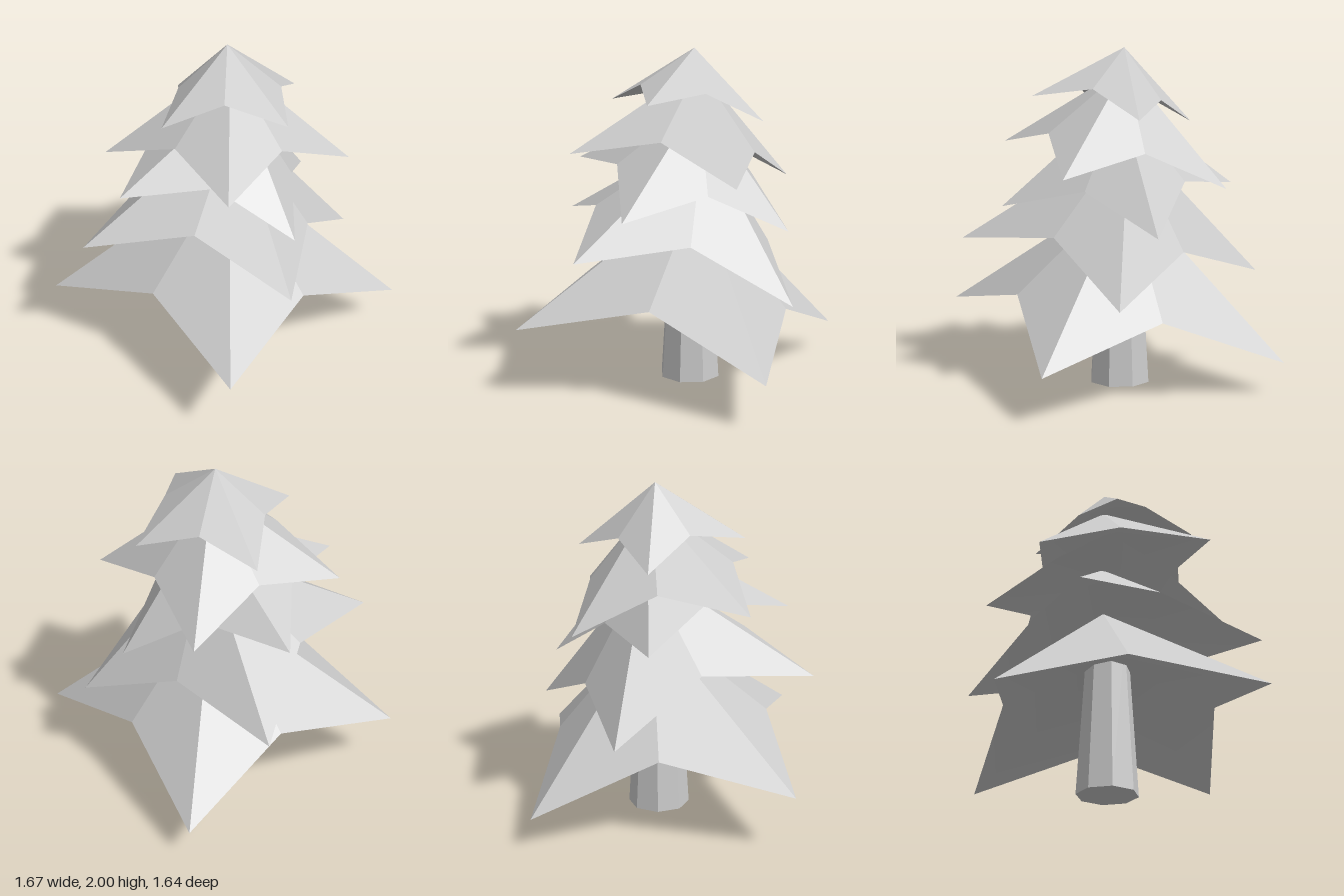
import * as THREE from 'three';

// Foliage tiers, bottom to top. Each leans so that its base rises by a along x and b along z.
const TIERS = [
  { name: 'bottomTier', centre: [0.005, 0.307, -0.042], radius: 1.066, turn: 45, a: 0.053, b: 0.102, height: 0.876 },
  { name: 'lowerTier', centre: [0, 0.759, -0.001], radius: 0.895, turn: 20.4, a: 0.054, b: 0.223, height: 0.76 },
  { name: 'middleTier', centre: [-0.05, 1.124, -0.018], radius: 0.72, turn: 7.2, a: -0.094, b: 0.228, height: 0.597 },
  { name: 'upperTier', centre: [0.013, 1.31, -0.051], radius: 0.718, turn: 46.2, a: 0.095, b: 0.135, height: 0.583 },
  { name: 'topTier', centre: [0.017, 1.64, -0.072], radius: 0.498, turn: 6.9, a: 0.16, b: 0.092, height: 0.366 },
];

const POINTS = 4;
const VALLEY_RADIUS = 0.595; // valley distance relative to the tips
const VALLEY_LIFT = 0.221; // valley rise relative to the tip radius
const UNDERSIDE_LIFT = 0.5; // rise of the hollow's middle relative to the tip radius

// Fan from a middle point to a star rim of drooping tips and raised valleys
function starFan(radius, middleHeight, facesUp) {
  const positions = [0, middleHeight, 0];
  const index = [];
  const count = POINTS * 2;
  for (let i = 0; i < count; i++) {
    const angle = (i * Math.PI) / POINTS;
    const isTip = i % 2 === 0;
    const r = isTip ? radius : radius * VALLEY_RADIUS;
    positions.push(r * Math.cos(angle), isTip ? 0 : radius * VALLEY_LIFT, r * Math.sin(angle));
    const here = i + 1;
    const next = ((i + 1) % count) + 1;
    index.push(0, ...(facesUp ? [next, here] : [here, next]));
  }
  const geometry = new THREE.BufferGeometry();
  geometry.setAttribute('position', new THREE.Float32BufferAttribute(positions, 3));
  geometry.setIndex(index);
  geometry.computeVertexNormals();
  return geometry;
}

export function createModel() {
  const model = new THREE.Group();
  model.name = 'pineTree';
  const faceted = new THREE.MeshStandardMaterial({ color: 0xcccccc, flatShading: true });
  const smooth = new THREE.MeshStandardMaterial({ color: 0xcccccc });

  const addMesh = (parent, name, geometry, material) => {
    const mesh = new THREE.Mesh(geometry, material);
    mesh.name = name;
    parent.add(mesh);
    return mesh;
  };

  // Tapered eight-sided trunk
  const trunk = addMesh(model, 'trunk', new THREE.CylinderGeometry(0.127, 0.185, 0.95, 8), faceted);
  trunk.position.set(-0.02, 0.475, -0.09);

  // Stacked, leaning foliage with hollowed undersides
  const up = new THREE.Vector3(0, 1, 0);
  for (const { name, centre, radius, turn, a, b, height } of TIERS) {
    const tier = new THREE.Group();
    tier.name = name;
    tier.position.set(...centre);
    tier.quaternion.setFromUnitVectors(up, new THREE.Vector3(-a, 1, -b).normalize());
    tier.rotateY(-THREE.MathUtils.degToRad(turn));
    addMesh(tier, 'branches', starFan(radius, height, true), faceted);
    addMesh(tier, 'underside', starFan(radius, radius * UNDERSIDE_LIFT, false), smooth);
    model.add(tier);
  }
  return model;
}
